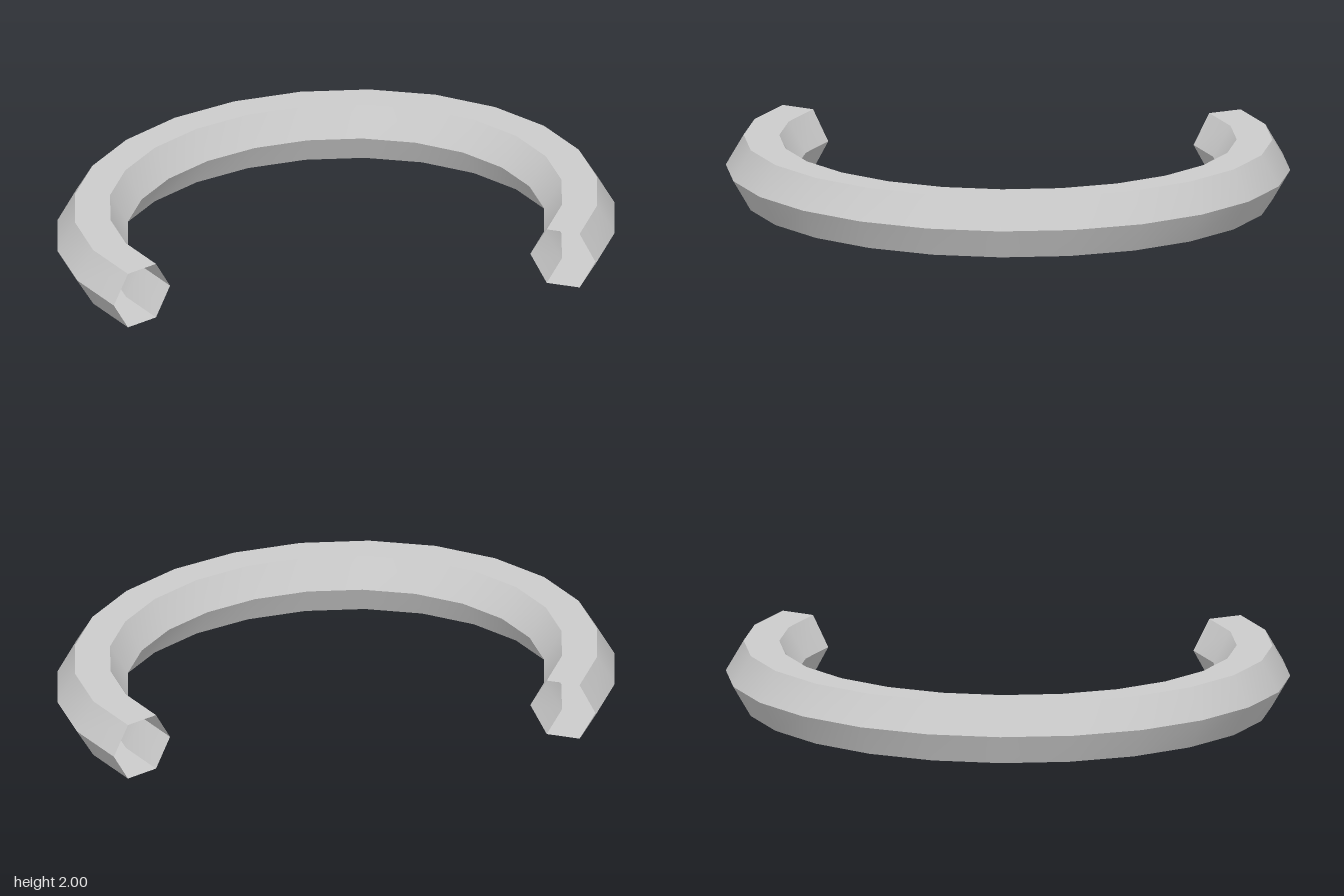
import * as THREE from 'three';
import { toCreasedNormals } from 'three/addons/utils/BufferGeometryUtils.js';

const TUBE = 0.121; // hexagon radius
const HALF_HEIGHT = 0.106;
const ARC = (240 * Math.PI) / 180;

// Hollow hexagonal tube bent into an oval horseshoe, open towards the front
function horseshoeGeometry() {
  const geometry = new THREE.TorusGeometry(0.836, TUBE, 6, 16, ARC);
  geometry.rotateZ((Math.PI - ARC) / 2);
  geometry.rotateX(-Math.PI / 2);
  geometry.scale(1, HALF_HEIGHT / (TUBE * Math.sin(Math.PI / 3)), 0.8);
  geometry.translate(0, 0, 0.191);
  // Smooth along the bend, sharp at the hexagon edges
  return toCreasedNormals(geometry, Math.PI / 6);
}

export function createModel() {
  const model = new THREE.Group();
  model.name = 'openRingPair';
  const material = new THREE.MeshStandardMaterial({ color: 0xcccccc, side: THREE.DoubleSide });
  const geometry = horseshoeGeometry();

  // The same ring at the bottom and at the top
  for (const [name, y] of [['lowerRing', HALF_HEIGHT], ['upperRing', 2 - HALF_HEIGHT]]) {
    const ring = new THREE.Mesh(geometry, material);
    ring.name = name;
    ring.position.y = y;
    model.add(ring);
  }
  return model;
}
